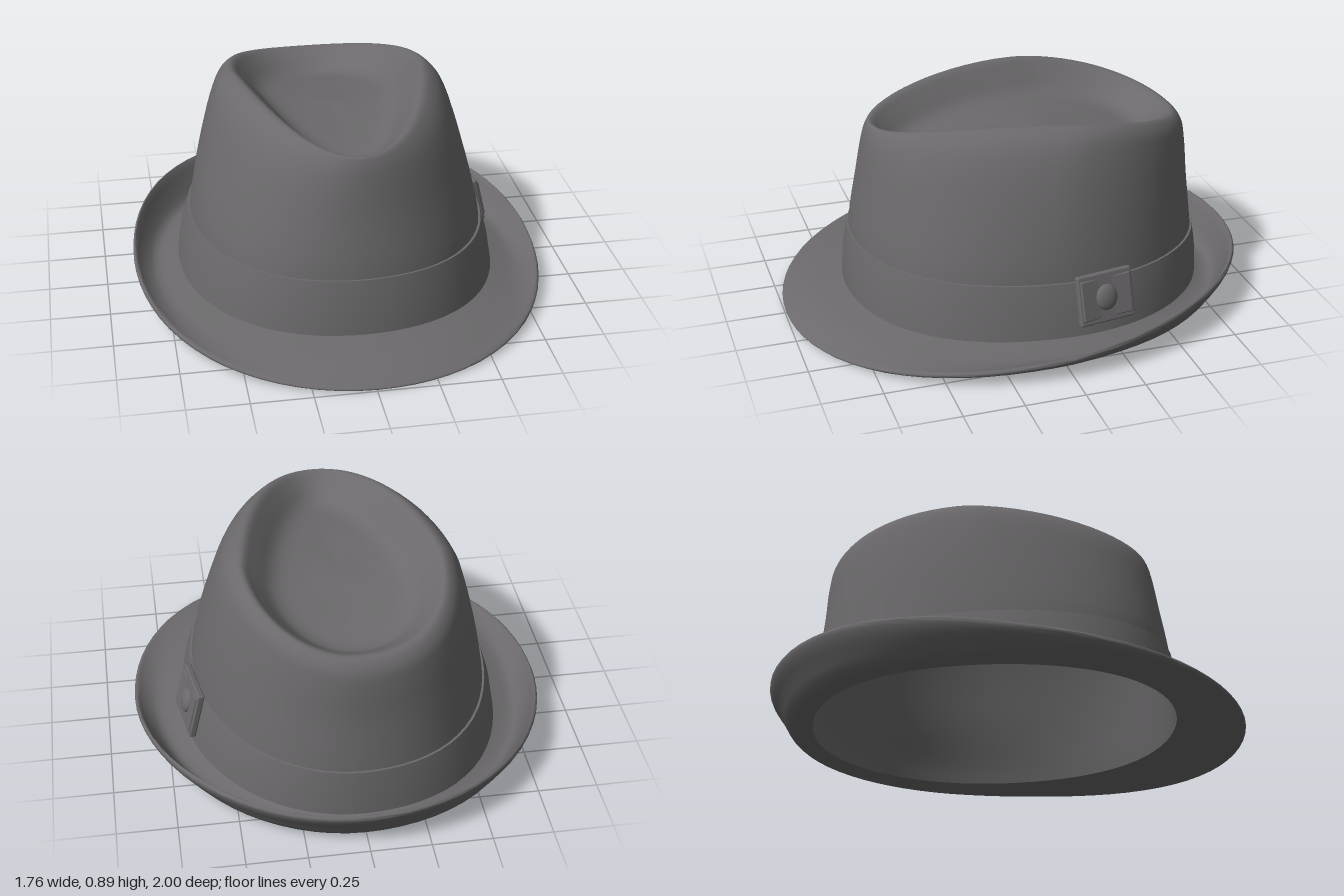
import * as THREE from 'three';
import { toCreasedNormals } from 'three/addons/utils/BufferGeometryUtils.js';
import { RoundedBoxGeometry } from 'three/addons/geometries/RoundedBoxGeometry.js';

const SEGMENTS = 72;

// Height of the crown's crest along the hat: highest in the middle, falling to front and back
const crest = z => 0.893 - (z > 0 ? 0.18 : 0.25) * z * z;
// Heights that vary around the hat (c = 1 at the front, -1 at the back; s = 1 on the left)
const rim = (z, c, s) => 0.113 - 0.085 * c - 0.012 * c * c - 0.012 * s
  + 0.05 * Math.max(-c, 0) * s * s;
const base = (z, c) => 0.075 + 0.02 * c;
const bandTop = (z, c) => 0.295 + 0.035 * c;
const onCrest = drop => z => crest(z) - drop;
const wall = k => (z, c) => THREE.MathUtils.lerp(bandTop(z, c), crest(z), k);

// The worn shape is fuller than an ellipse on three diagonals, but not at the back left
const fullness = (s, c) => (c < 0 ? (s < 0 ? 1 : 0) : (s < 0 ? 0.6 : 0.9));

// A ring: half width, front z, back z, z of the widest point, pinch of the front, height,
// and how far the diagonals swell beyond an ellipse
const ring = (w, zf, zb, zc, pinch, y, swell = 0) => a => {
  const s = Math.sin(a), c = Math.cos(a);
  const grow = 1 + swell * Math.sin(2 * a) ** 2 * fullness(s, c);
  const z = zc + grow * c * (c > 0 ? zf - zc : zc - zb);
  const x = grow * w * s * (1 - pinch * Math.max(c, 0));
  return new THREE.Vector3(x, typeof y === 'number' ? y : y(z, c, s), z);
};

// Skin a list of rings, running outward over the top and back inward underneath
function loft(rings, steps = 1, crease = 0.8) {
  const rows = (rings.length - 1) * steps;
  const positions = [], index = [];
  for (let j = 0; j < SEGMENTS; j++) {
    const a = (j / SEGMENTS) * Math.PI * 2;
    const points = rings.map(r => r(a));
    const curve = new THREE.CatmullRomCurve3(points);
    for (let i = 0; i <= rows; i++) {
      const p = steps === 1 ? points[i] : curve.getPoint(i / rows);
      positions.push(p.x, p.y, p.z);
    }
  }
  const at = (i, j) => (j % SEGMENTS) * (rows + 1) + i;
  for (let j = 0; j < SEGMENTS; j++) {
    for (let i = 0; i < rows; i++) {
      index.push(at(i, j), at(i + 1, j), at(i + 1, j + 1));
      index.push(at(i, j), at(i + 1, j + 1), at(i, j + 1));
    }
  }
  const geometry = new THREE.BufferGeometry();
  geometry.setAttribute('position', new THREE.Float32BufferAttribute(positions, 3));
  geometry.setIndex(index);
  return toCreasedNormals(geometry, crease);
}

export function createModel() {
  const hat = new THREE.Group();
  hat.name = 'hat';
  const felt = new THREE.MeshStandardMaterial({ color: 0x6b696b });
  felt.name = 'dark grey felt';
  const add = (name, geometry, parent = hat) => {
    const mesh = new THREE.Mesh(geometry, felt);
    mesh.name = name;
    parent.add(mesh);
    return mesh;
  };

  // Crown with a teardrop dent and pinched front
  add('crown', loft([
    ring(0.001, -0.12, -0.122, -0.121, 0, onCrest(0.14)),
    ring(0.16, 0.24, -0.42, -0.2, 0.25, onCrest(0.14)),
    ring(0.28, 0.46, -0.58, -0.22, 0.28, onCrest(0.12), 0.04),
    ring(0.36, 0.55, -0.66, -0.22, 0.28, onCrest(0.045), 0.05),
    ring(0.41, 0.6, -0.72, -0.2, 0.26, onCrest(0), 0.055),
    ring(0.46, 0.62, -0.76, -0.16, 0.22, onCrest(0.03), 0.055),
    ring(0.5, 0.637, -0.775, -0.12, 0.16, onCrest(0.1), 0.055),
    ring(0.56, 0.66, -0.785, -0.08, 0.09, wall(0.5), 0.05),
    ring(0.61, 0.69, -0.805, -0.05, 0.02, wall(0.12), 0.04),
    ring(0.625, 0.698, -0.813, -0.05, 0, (z, c) => bandTop(z, c) - 0.03, 0.04),
  ], 4));

  // Hat band, standing slightly proud of the crown
  add('hatBand', loft([
    ring(0.61, 0.69, -0.805, -0.05, 0, bandTop, 0.04),
    ring(0.63, 0.703, -0.82, -0.05, 0, bandTop, 0.04),
    ring(0.66, 0.724, -0.83, -0.05, 0, (z, c) => 0.2 + 0.02 * c, 0.04),
    ring(0.682, 0.732, -0.835, -0.05, 0, base, 0.04),
  ], 1, 0.6));

  // Brim: snapped down in front, curled up at the sides and back, with a thin edge
  const opening = ring(0.668, 0.712, -0.815, -0.05, 0, (z, c) => 0.045 + 0.022 * c, 0.035);
  add('brim', loft([
    ring(0.67, 0.72, -0.825, -0.05, 0, base, 0.035),
    ring(0.72, 0.775, -0.862, -0.03, 0, (z, c) => 0.062 + 0.022 * c, 0.03),
    ring(0.79, 0.87, -0.905, 0, 0, (z, c) => 0.052 + 0.012 * c, 0.025),
    ring(0.845, 0.95, -0.955, 0, 0, (z, c, s) => rim(z, c, s) * 0.55 + 0.024, 0.025),
    ring(0.872, 0.985, -0.988, 0, 0, rim, 0.025),
    ring(0.88, 0.996, -1, 0, 0, (z, c, s) => rim(z, c, s) - 0.008, 0.025),
    ring(0.876, 0.99, -0.992, 0, 0, (z, c, s) => rim(z, c, s) * 0.87 - 0.012, 0.025),
    ring(0.85, 0.95, -0.955, 0, 0, (z, c, s) => rim(z, c, s) * 0.5 + 0.002, 0.025),
    ring(0.79, 0.87, -0.9, 0, 0, (z, c) => 0.03 + 0.01 * c - 0.008 * c * c, 0.025),
    ring(0.72, 0.775, -0.85, -0.03, 0, (z, c) => 0.036 + 0.018 * c, 0.03),
    opening,
  ], 3, 1.1));

  // Hollow inside, following the crown
  add('lining', loft([
    opening,
    ring(0.655, 0.705, -0.81, -0.05, 0, 0.11, 0.035),
    ring(0.607, 0.675, -0.795, -0.05, 0.01, bandTop, 0.04),
    ring(0.545, 0.645, -0.77, -0.08, 0.1, wall(0.5), 0.05),
    ring(0.48, 0.617, -0.755, -0.12, 0.18, onCrest(0.115), 0.055),
    ring(0.41, 0.585, -0.71, -0.18, 0.25, onCrest(0.045), 0.05),
    ring(0.3, 0.48, -0.6, -0.22, 0.28, onCrest(0.135), 0.04),
    ring(0.16, 0.24, -0.42, -0.2, 0.25, onCrest(0.155)),
    ring(0.001, -0.12, -0.122, -0.121, 0, onCrest(0.155)),
  ], 3));

  // Flat bow on the left side: panel, folded ends and a rolled knot
  const bow = new THREE.Group();
  bow.name = 'bow';
  bow.position.set(0.648, 0.222, -0.205);
  bow.rotation.set(0, 0.16, 0.24);
  hat.add(bow);
  add('bowPanel', new RoundedBoxGeometry(0.03, 0.21, 0.25, 2, 0.008), bow);
  for (const side of [-1, 1]) {
    const fold = add('bowFold', new RoundedBoxGeometry(0.014, 0.17, 0.09, 2, 0.006), bow);
    fold.position.set(0.012, 0, side * 0.07);
    fold.rotation.y = side * 0.1;
  }
  const knot = add('bowKnot', new THREE.SphereGeometry(0.055, 20, 12), bow);
  knot.scale.set(0.4, 1, 0.9);
  knot.position.x = 0.014;

  return hat;
}
